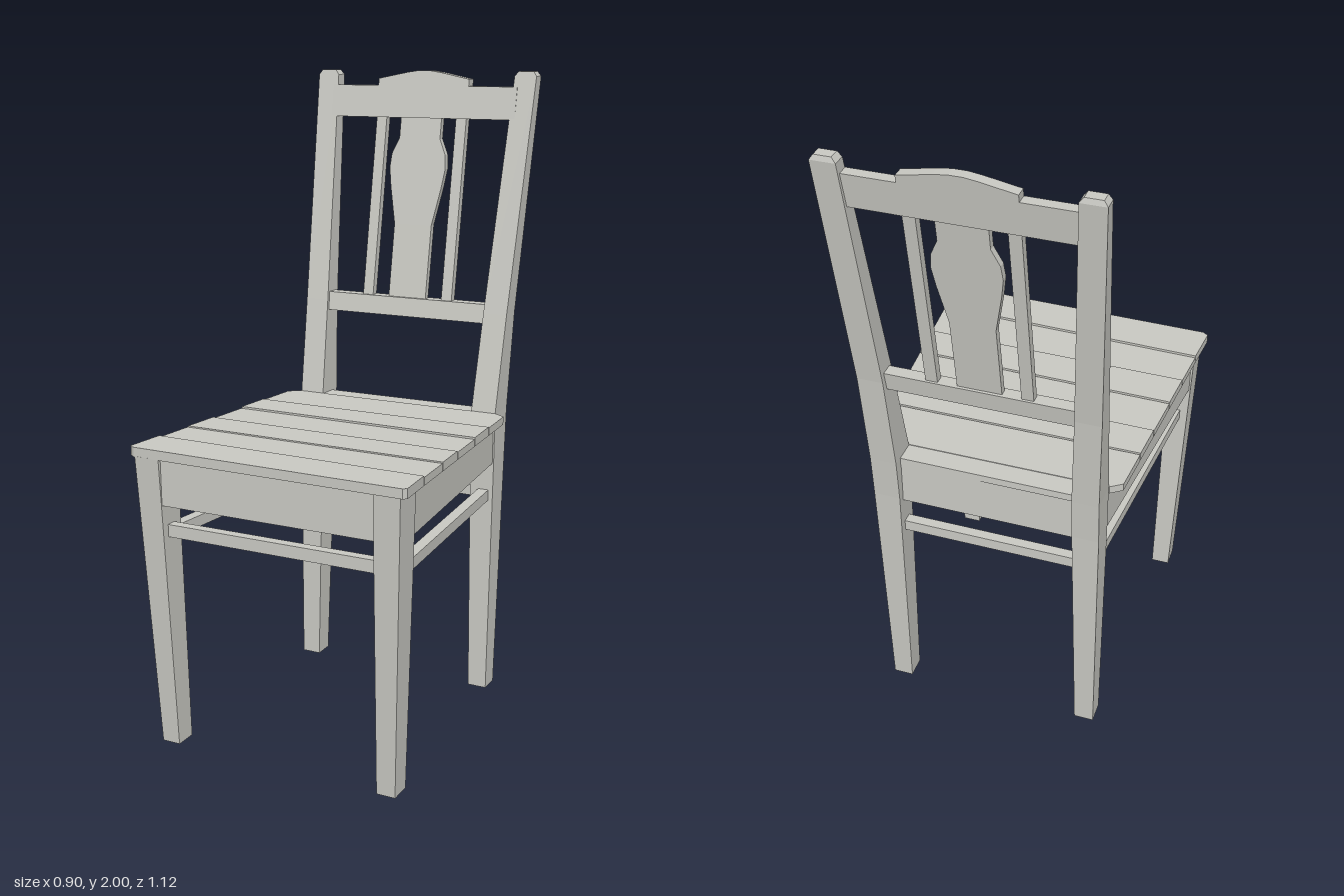
import * as THREE from 'three';

const paint = new THREE.MeshStandardMaterial({ color: 0xc8c8c2 });
paint.name = 'greyPaint';
const wood = new THREE.MeshStandardMaterial({ color: 0x8a6442 });
wood.name = 'bareWood';

// Skins convex rings [[x, z], ...] (counter-clockwise from above) placed at heights.
// bare lists the faces left unpainted: side numbers or 'bottom'.
function loft(name, heights, rings, bare = []) {
  const pos = [];
  const geo = new THREE.BufferGeometry();
  const n = rings[0].length;
  const top = rings.length - 1;
  const put = (...corners) => corners.forEach(([r, i]) =>
    pos.push(rings[r][i % n][0], heights[r], rings[r][i % n][1]));
  const group = (key, build) => {
    const start = pos.length / 3;
    build();
    geo.addGroup(start, pos.length / 3 - start, bare.includes(key) ? 1 : 0);
  };
  for (let i = 0; i < n; i++) {
    group(i, () => {
      for (let r = 0; r < top; r++) {
        put([r, i], [r, i + 1], [r + 1, i + 1], [r, i], [r + 1, i + 1], [r + 1, i]);
      }
    });
  }
  group('top', () => { for (let i = 1; i < n - 1; i++) put([top, 0], [top, i], [top, i + 1]); });
  group('bottom', () => { for (let i = 1; i < n - 1; i++) put([0, 0], [0, i + 1], [0, i]); });
  geo.setAttribute('position', new THREE.Float32BufferAttribute(pos, 3));
  geo.computeVertexNormals();
  const mesh = new THREE.Mesh(geo, [paint, wood]);
  mesh.name = name;
  return mesh;
}

const rect = (x0, x1, z0, z1) => [[x0, z1], [x1, z1], [x1, z0], [x0, z0]];

// Tapered leg from rows [y, inner x, outer x, back z, front z], on either side
function leg(name, side, rows) {
  const rings = rows.map(([, a, b, z0, z1]) =>
    side > 0 ? rect(a, b, z0, z1) : rect(-b, -a, z0, z1));
  return loft(name, rows.map((r) => r[0]), rings, ['bottom']);
}

// Horizontal bar following the splayed side of the seat
function sideBar(name, side, y0, y1, front, back, thick, bare = []) {
  const [xf, zf] = front, [xb, zb] = back;
  const ring = side > 0
    ? [[xf - thick, zf], [xf, zf], [xb, zb], [xb - thick, zb]]
    : [[-xf, zf], [-xf + thick, zf], [-xb + thick, zb], [-xb, zb]];
  return loft(name, [y0, y1], [ring, ring], bare);
}

const bar = (name, y0, y1, x, z0, z1, bare) =>
  loft(name, [y0, y1], [rect(-x, x, z0, z1), rect(-x, x, z0, z1)], bare);

// Front outline given depth, then sheared to the backrest's lean
function leaning(name, points, depth) {
  const shape = new THREE.Shape(points.map(([x, y]) => new THREE.Vector2(x, y)));
  const geo = new THREE.ExtrudeGeometry(shape, { depth, bevelEnabled: false });
  const p = geo.attributes.position;
  for (let i = 0; i < p.count; i++) {
    p.setZ(i, p.getZ(i) - depth / 2 - 0.41 - 0.17 * (p.getY(i) - 1.25));
  }
  geo.computeVertexNormals();
  const mesh = new THREE.Mesh(geo, paint);
  mesh.name = name;
  return mesh;
}

const panel = (x0, x1, y0, y1) => [[x0, y0], [x1, y0], [x1, y1], [x0, y1]];
const mirrored = (half) => [...half, ...half.map(([x, y]) => [-x, y]).reverse()];

export function createModel() {
  const chair = new THREE.Group();
  chair.name = 'chair';

  // Legs, side aprons and side stretchers
  for (const s of [1, -1]) {
    const tag = s > 0 ? 'Left' : 'Right';
    chair.add(
      leg('frontLeg' + tag, s, [
        [0, 0.336, 0.395, 0.425, 0.495],
        [0.917, 0.346, 0.428, 0.446, 0.546],
      ]),
      leg('backPost' + tag, s, [
        [0, 0.283, 0.345, -0.375, -0.308],
        [0.8, 0.27, 0.352, -0.41, -0.318],
        [0.94, 0.27, 0.352, -0.42, -0.32],
        [1.25, 0.281, 0.36, -0.448, -0.378],
        [1.985, 0.312, 0.385, -0.562, -0.52],
        [2.0, 0.324, 0.374, -0.558, -0.523],
      ]),
      sideBar('sideApron' + tag, s, 0.775, 0.917, [0.42, 0.46], [0.346, -0.33], 0.04, [s > 0 ? 3 : 1]),
      sideBar('sideStretcher' + tag, s, 0.65, 0.685, [0.395, 0.46], [0.335, -0.33], 0.035),
    );
  }

  // Front and back aprons and stretchers
  chair.add(
    bar('frontApron', 0.775, 0.917, 0.36, 0.495, 0.535, [2]),
    bar('backApron', 0.775, 0.917, 0.285, -0.385, -0.345, [0]),
    bar('frontStretcher', 0.672, 0.71, 0.36, 0.475, 0.508),
    bar('backStretcher', 0.65, 0.685, 0.285, -0.378, -0.345),
  );

  // Seat planks: slightly slanted joints [z at -x, z at +x]
  const joints = [[-0.295, -0.295], [-0.145, -0.145], [-0.02, -0.008], [0.132, 0.147],
    [0.264, 0.275], [0.401, 0.425], [0.545, 0.56]];
  const tops = [0.94, 0.943, 0.938, 0.942, 0.939, 0.944];
  const half = (z) => 0.39 + (z + 0.295) * 0.071;
  for (let i = 0; i < 6; i++) {
    const [a, b] = joints[i];
    const last = i === 5;
    const c = joints[i + 1][0] - (last ? 0 : 0.004);
    const d = joints[i + 1][1] - (last ? 0 : 0.004);
    const ring = last
      ? [[-half(c), c - 0.012], [-half(c) + 0.018, c], [half(d) - 0.01, d], [half(d), d - 0.01]]
      : [[-half(c), c], [half(d), d]];
    ring.push([half(b), b]);
    if (i === 0) ring.push([0.355, -0.32], [-0.355, -0.32]);
    ring.push([-half(a), a]);
    chair.add(loft('seatPlank' + (i + 1), [0.915, tops[i]], [ring, ring], ['bottom']));
  }
  chair.add(bar('seatBackStrip', 0.915, 0.938, 0.275, -0.388, -0.32, ['bottom']));

  // Backrest: rails, slats and shaped splat
  chair.add(
    leaning('lowerBackRail', panel(-0.3, 0.3, 1.215, 1.275), 0.042),
    leaning('crestRail', mirrored([
      [0.325, 1.85], [0.325, 1.952], [0.16, 1.952], [0.16, 1.974], [0.06, 1.994], [0.02, 2.0],
    ]), 0.036),
    leaning('splat', mirrored([
      [0.066, 1.265], [0.066, 1.51], [0.09, 1.63], [0.099, 1.69],
      [0.095, 1.735], [0.072, 1.785], [0.072, 1.86],
    ]), 0.022),
    leaning('slatLeft', panel(0.123, 0.159, 1.265, 1.86), 0.026),
    leaning('slatRight', panel(-0.159, -0.123, 1.265, 1.86), 0.026),
  );
  return chair;
}
